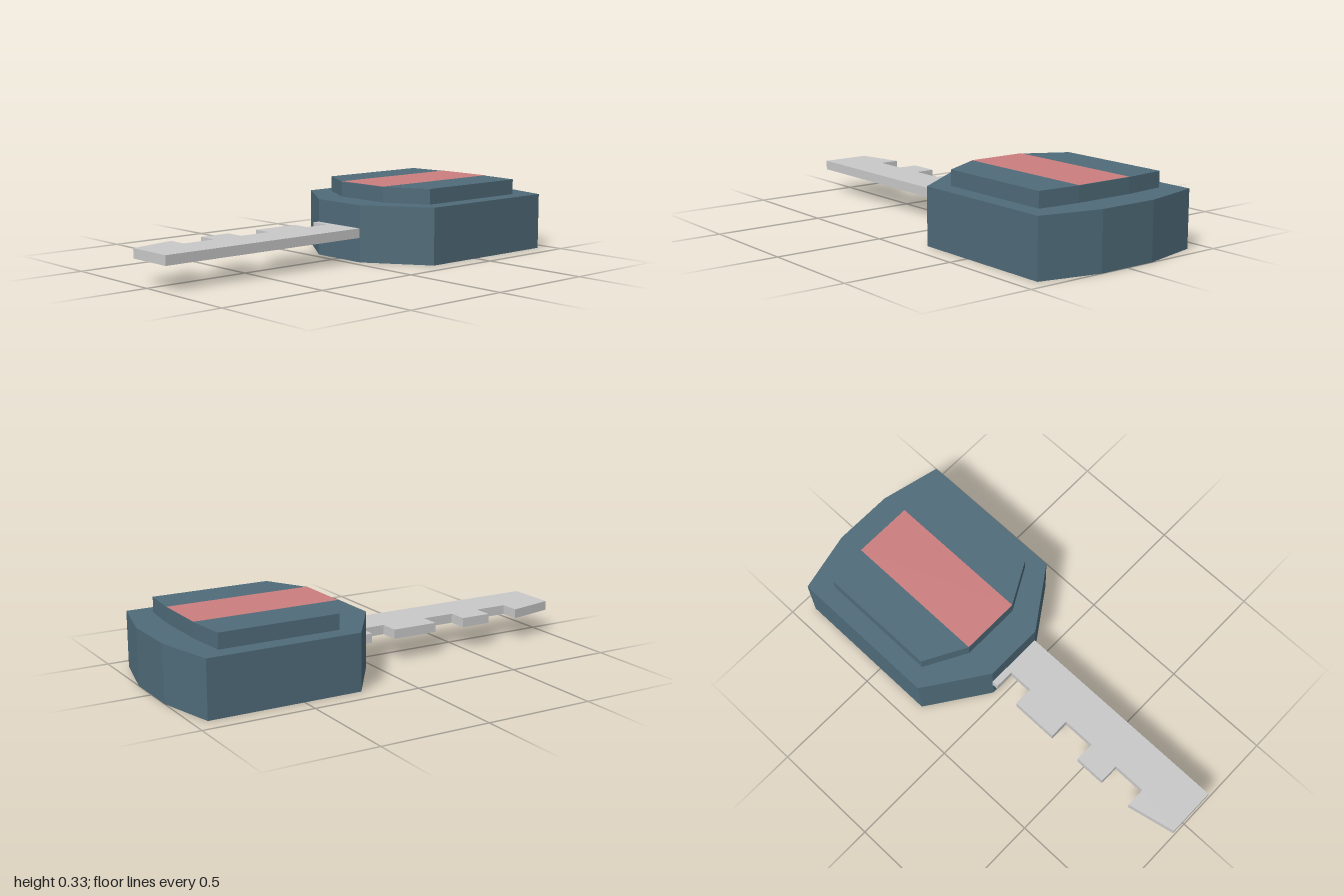
import * as THREE from 'three';

const teal = new THREE.MeshStandardMaterial({ color: 0x4f6b79 });
teal.name = 'slate teal';
const pink = new THREE.MeshStandardMaterial({ color: 0xcb7d7d });
pink.name = 'dusty pink';
const grey = new THREE.MeshStandardMaterial({ color: 0xc8c8c8 });
grey.name = 'light grey';

// Upright prism from an [x, z] outline between two heights
function slab(name, outline, y0, y1, material) {
  const shape = new THREE.Shape(outline.map(([x, z]) => new THREE.Vector2(x, -z)));
  const geo = new THREE.ExtrudeGeometry(shape, { depth: y1 - y0, bevelEnabled: false });
  geo.rotateX(-Math.PI / 2).translate(0, y0, 0);
  const mesh = new THREE.Mesh(geo, material);
  mesh.name = name;
  return mesh;
}

// Elongated octagon: flat ends at x0 and x1, long sides from xa to xb at +-w
const octagon = (x0, xa, xb, x1, w, end) => [
  [x0, end], [xa, w], [xb, w], [x1, end],
  [x1, -end], [xb, -w], [xa, -w], [x0, -end],
];

export function createModel() {
  const key = new THREE.Group();
  key.name = 'key';

  // Grip: wide base with a raised cap
  key.add(slab('gripBase', octagon(0.04, 0.23, 0.935, 1, 0.413, 0.138), 0, 0.257, teal));
  key.add(slab('gripCap', octagon(0.182, 0.287, 0.843, 0.861, 0.33, 0.138), 0.257, 0.327, teal));

  // Painted band along the middle of the cap
  const band = new THREE.Mesh(new THREE.PlaneGeometry(0.679, 0.276).rotateX(-Math.PI / 2), pink);
  band.name = 'capBand';
  band.position.set(0.5215, 0.3285, 0);
  key.add(band);

  // Blade: straight front edge, slanted tip and square notches at the back
  const outline = [[0.05, 0.135], [-1, 0.135], [-1, -0.092]];
  const notches = [[-0.78, -0.625], [-0.48, -0.327], [-0.107, 0.01]];
  outline.push([notches[0][0], -0.14]);
  for (const [a, b] of notches) {
    if (a !== notches[0][0]) outline.push([a, -0.14]);
    outline.push([a, -0.05], [b, -0.05], [b, -0.14]);
  }
  outline.push([0.05, -0.14]);
  key.add(slab('blade', outline, 0.11, 0.153, grey));

  return key;
}
